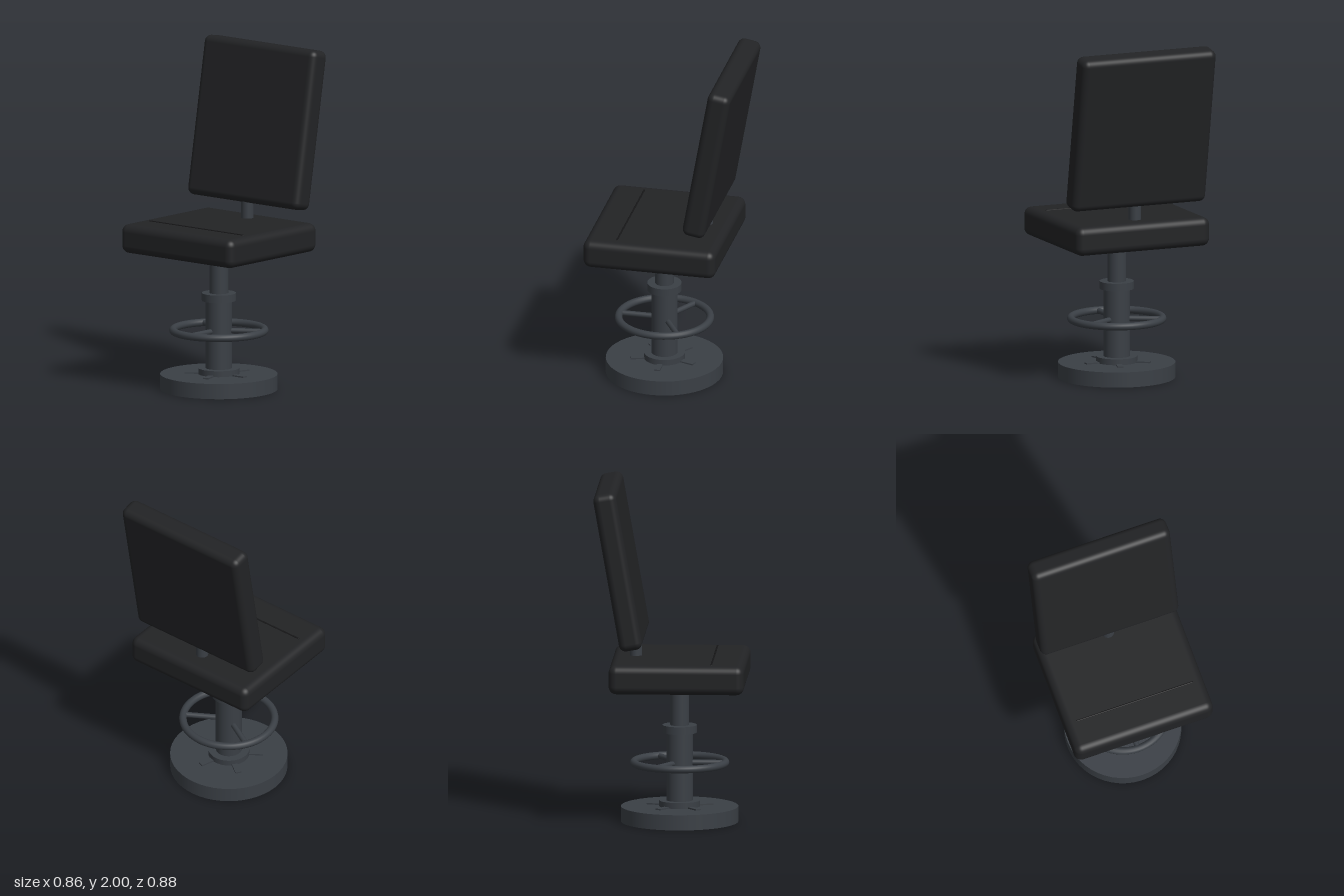
import * as THREE from 'three';
import { RoundedBoxGeometry } from 'three/addons/geometries/RoundedBoxGeometry.js';

const AXIS_Z = 0.045; // the pedestal stands a little forward of the centre

export function createModel() {
  const model = new THREE.Group();
  model.name = 'pedestalChair';
  const leather = new THREE.MeshStandardMaterial({ color: 0x222325 });
  const seamDark = new THREE.MeshStandardMaterial({ color: 0x161617 });
  const metal = new THREE.MeshStandardMaterial({ color: 0x3a3f45 });

  const add = (name, geometry, material, parent = model) => {
    const mesh = new THREE.Mesh(geometry, material);
    mesh.name = name;
    parent.add(mesh);
    return mesh;
  };
  // Upright cylinder between two heights
  const post = (name, radius, y0, y1, z = 0, parent = pedestal) =>
    add(name, new THREE.CylinderGeometry(radius, radius, y1 - y0, 48), metal, parent)
      .position.set(0, (y0 + y1) / 2, z);

  // Pedestal
  const pedestal = new THREE.Group();
  pedestal.name = 'pedestal';
  pedestal.position.z = AXIS_Z;
  model.add(pedestal);
  post('base', 0.343, 0, 0.09);
  post('baseCollar', 0.12, 0.09, 0.125);
  post('lowerColumn', 0.077, 0.12, 0.54);
  post('columnCollar', 0.1, 0.525, 0.57);
  post('upperColumn', 0.055, 0.56, 0.79);
  post('seatPlate', 0.155, 0.78, 0.82);

  // Radial ribs on the base
  for (let i = 0; i < 5; i++) {
    const rib = add('baseRib', new THREE.BoxGeometry(0.1, 0.014, 0.035).translate(0.15, 0, 0), metal, pedestal);
    rib.position.y = 0.091;
    rib.rotation.y = (i * Math.PI * 2) / 5;
  }

  // Foot ring and its three spokes
  const footRest = new THREE.Group();
  footRest.name = 'footRest';
  footRest.position.y = 0.348;
  pedestal.add(footRest);
  add('footRing', new THREE.TorusGeometry(0.268, 0.022, 14, 64).rotateX(Math.PI / 2), metal, footRest);
  for (let i = 0; i < 3; i++) {
    const spoke = new THREE.CylinderGeometry(0.016, 0.016, 0.21, 16).rotateX(Math.PI / 2).translate(0, 0, 0.165);
    add('footSpoke', spoke, metal, footRest).rotation.y = (i * Math.PI * 2) / 3;
  }

  // Seat cushion with a thin seam across the front
  add('seat', new RoundedBoxGeometry(0.856, 0.17, 0.79, 5, 0.045), leather).position.set(0, 0.895, AXIS_Z);
  add('seatSeam', new THREE.CapsuleGeometry(0.005, 0.716, 4, 10).rotateZ(Math.PI / 2), seamDark)
    .position.set(0, 0.98, 0.248);

  // Backrest, leaning back, on a short post
  post('backPost', 0.036, 0.95, 1.1, -0.21, model);
  const back = add('backrest', new RoundedBoxGeometry(0.856, 0.938, 0.136, 5, 0.04), leather);
  back.position.set(0, 1.532, -0.297);
  back.rotation.x = THREE.MathUtils.degToRad(-10);

  return model;
}
